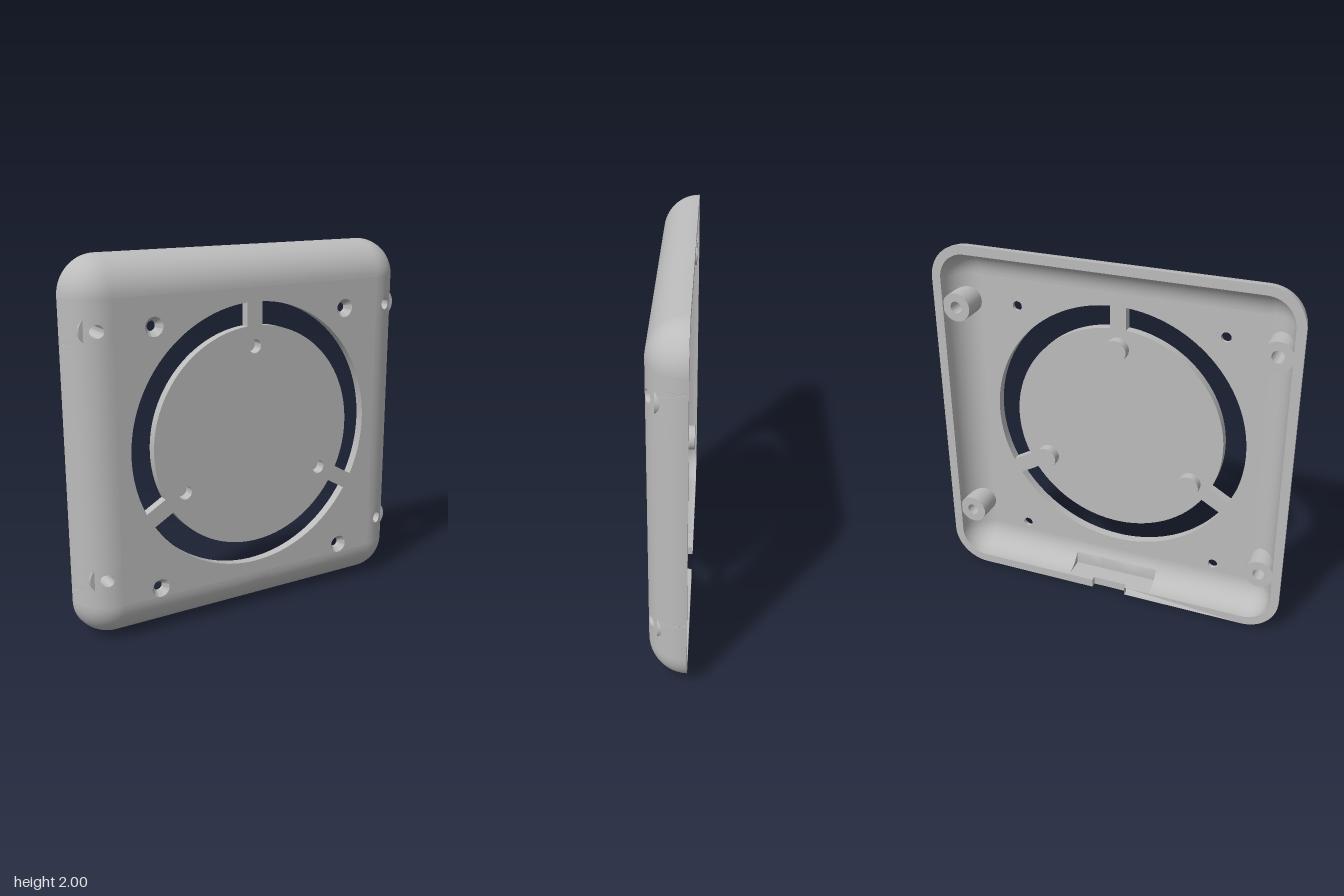
import * as THREE from 'three';
import { toCreasedNormals } from 'three/addons/utils/BufferGeometryUtils.js';

const RIM_Z = -0.1, R_OUT = 0.2, R_IN = 0.15, STEPS = 14;
const HOLE_R = 0.033, HOLE_W = 0.075, HOLE_U = 0.645, PATCH = 0.08;
const POCKET_Z = 0.03, POCKET_X = 0.25, NOTCH_X = 0.1, NOTCH_Z = -0.07;

const range = (n, f) => Array.from({ length: n + 1 }, (_, i) => f(i / n));

// Surface through rows of [x, y, z] points
function grid(rows) {
  const n = rows[0].length, index = [];
  for (let i = 0; i < rows.length - 1; i++) {
    for (let j = 0; j < n - 1; j++) {
      const a = i * n + j, b = a + n;
      index.push(a, b, a + 1, b, b + 1, a + 1);
    }
  }
  const g = new THREE.BufferGeometry();
  g.setAttribute('position', new THREE.Float32BufferAttribute(rows.flat(2), 3));
  g.setIndex(index);
  return toCreasedNormals(g, 0.6);
}

// Point on the rounded edge along the bottom side: angle t from the front, u along the side
const edge = (R, t, u) => [u, -0.8 - R * Math.sin(t), RIM_Z + R * Math.cos(t)];
const arc = (R, t0 = 0, t1 = Math.PI / 2) =>
  range(STEPS, (k) => edge(R, t0 + (t1 - t0) * k, 0).slice(1));
const sweep = (profile, u0, u1) => grid([u0, u1].map((u) => profile.map(([y, z]) => [u, y, z])));

// Square piece of rounded edge with a round screw hole in it
function holedPatch(R, uc) {
  const H = Math.PI / 2, s = range(STEPS, (k) => k).slice(0, -1);
  const border = [
    ...s.map((k) => [k * H, -PATCH]), ...s.map((k) => [H, (2 * k - 1) * PATCH]),
    ...s.map((k) => [(1 - k) * H, PATCH]), ...s.map((k) => [0, (1 - 2 * k) * PATCH]),
  ];
  border.push(border[0]);
  const lines = border.map(([t, u]) => {
    const a = Math.atan2(u, R * Math.sin(t) - HOLE_W);
    const th = Math.asin((HOLE_W + HOLE_R * Math.cos(a)) / R), uh = HOLE_R * Math.sin(a);
    return range(8, (k) => edge(R, th + (t - th) * k, uc + uh + (u - uh) * k));
  });
  return grid(lines);
}

// Octant of a sphere at the corner
const corner = (R) => grid(range(STEPS, (a) => range(STEPS, (b) => {
  const th = a * Math.PI / 2, t = b * Math.PI / 2;
  return [0.8 + R * Math.sin(t) * Math.cos(th), -0.8 - R * Math.sin(t) * Math.sin(th), RIM_Z + R * Math.cos(t)];
})));

// Lathe around the z axis from [radius, z] points
function latheZ(points) {
  const g = new THREE.LatheGeometry(points.map(([r, z]) => new THREE.Vector2(r, z)), 40);
  return toCreasedNormals(g.rotateX(Math.PI / 2), 0.6);
}

export function createModel() {
  const model = new THREE.Group();
  const body = new THREE.Group();
  body.name = 'cover';
  body.position.y = 1;
  model.add(body);
  const grey = new THREE.MeshStandardMaterial({ color: 0xbcbcbc, side: THREE.DoubleSide });
  grey.name = 'grey plastic';
  const add = (name, geometry, x = 0, y = 0, turn = 0) => {
    const m = new THREE.Mesh(geometry, grey);
    m.name = name;
    m.position.set(x, y, 0);
    m.rotation.z = turn;
    body.add(m);
  };

  // Front plate with three arc slots, screw holes and pin holes
  const plate = new THREE.Shape([[-0.8, -0.8], [0.8, -0.8], [0.8, 0.8], [-0.8, 0.8]].map((p) => new THREE.Vector2(...p)));
  const circleHole = (x, y, r) => plate.holes.push(new THREE.Path().absarc(x, y, r, 0, Math.PI * 2, true));
  const screws = [-0.58, 0.58].flatMap((x) => [[x, -0.75], [x, 0.645]]);
  const pins = [90, 210, 330].map((d) => [0.49 * Math.cos(d * Math.PI / 180), 0.49 * Math.sin(d * Math.PI / 180)]);
  screws.forEach(([x, y]) => circleHole(x, y, 0.05));
  pins.forEach(([x, y]) => circleHole(x, y, 0.037));
  for (const d of [90, 210, 330]) {
    const a = d * Math.PI / 180, b = a + Math.PI * 2 / 3;
    const go = Math.asin(0.045 / 0.725), gi = Math.asin(0.045 / 0.6);
    const slot = new THREE.Path();
    slot.absarc(0, 0, 0.725, a + go, b - go, false);
    slot.absarc(0, 0, 0.6, b - gi, a + gi, true);
    slot.closePath();
    plate.holes.push(slot);
  }
  const plateGeo = new THREE.ExtrudeGeometry(plate, { depth: 0.05, bevelEnabled: false, curveSegments: 40 });
  add('frontPlate', toCreasedNormals(plateGeo.translate(0, 0, 0.05), 0.5));

  // Countersinks, and pegs on the back with blind holes from the front
  screws.forEach(([x, y]) => add('countersink', latheZ([[0.05, -0.1], [0.027, -0.07], [0.027, -0.05], [0.05, -0.05]].map(([r, z]) => [r, -z])), x, y));
  pins.forEach(([x, y]) => add('peg', latheZ([[0.037, 0.1], [0.037, 0.04], [0, 0.04]]), x, y));
  pins.forEach(([x, y]) => add('pegBack', latheZ([[0.062, 0.05], [0.062, 0], [0, 0]]), x, y));

  // Rounded edges, outside and inside, on all four sides
  for (let k = 0; k < 4; k++) {
    const turn = k * Math.PI / 2;
    for (const R of [R_OUT, R_IN]) {
      const name = R === R_OUT ? 'outer' : 'inner';
      add(name + 'Corner', corner(R), 0, 0, turn);
      if (k === 2) add(name + 'Edge', sweep(arc(R), -0.8, 0.8), 0, 0, turn);
      if (k % 2 === 0) continue;
      const a = HOLE_U - PATCH, b = HOLE_U + PATCH;
      for (const [u0, u1] of [[-0.8, -b], [-a, a], [b, 0.8]]) add(name + 'Edge', sweep(arc(R), u0, u1), 0, 0, turn);
      for (const u of [-HOLE_U, HOLE_U]) add(name + 'EdgeHole', holedPatch(R, u), 0, 0, turn);
    }
  }

  // Bottom edge with the notch outside and the pocket inside
  const tNotch = Math.acos((NOTCH_Z - RIM_Z) / R_OUT), tPocket = Math.acos((POCKET_Z - RIM_Z) / R_IN);
  const pocket = (z0) => [...arc(R_IN, 0, tPocket), [-0.95, POCKET_Z], [-0.95, z0]];
  add('outerEdge', sweep(arc(R_OUT, 0, tNotch), -NOTCH_X, NOTCH_X));
  add('pocket', sweep(pocket(NOTCH_Z), -NOTCH_X, NOTCH_X));
  add('notchFloor', sweep([[-0.95, NOTCH_Z], [-0.998, NOTCH_Z]], -NOTCH_X, NOTCH_X));
  for (const s of [-1, 1]) {
    add('outerEdge', sweep(arc(R_OUT), s * NOTCH_X, s * 0.8));
    add('innerEdge', sweep(arc(R_IN), s * POCKET_X, s * 0.8));
    add('pocket', sweep(pocket(RIM_Z), s * NOTCH_X, s * POCKET_X));
    const fillet = arc(R_IN, tPocket, Math.PI / 2);
    add('pocketCheek', grid([fillet.map(([y, z]) => [s * POCKET_X, y, z]), fillet.map(([, z]) => [s * POCKET_X, -0.95, z])]));
    add('notchCheek', grid([RIM_Z, NOTCH_Z].map((z) => [-0.95, -0.999].map((y) => [s * NOTCH_X, y, z]))));
  }

  // Flat rear rim, open at the notch
  const rim = new THREE.Shape();
  rim.moveTo(NOTCH_X, -1);
  const quarters = [[0.8, -0.8, -0.5], [0.8, 0.8, 0], [-0.8, 0.8, 0.5], [-0.8, -0.8, 1]];
  quarters.forEach(([x, y, q]) => rim.absarc(x, y, R_OUT, q * Math.PI, (q + 0.5) * Math.PI, false));
  rim.lineTo(-NOTCH_X, -1);
  rim.lineTo(-NOTCH_X, -0.95);
  quarters.reverse().forEach(([x, y, q]) => rim.absarc(x, y, R_IN, (q + 0.5) * Math.PI, q * Math.PI, true));
  rim.lineTo(NOTCH_X, -0.95);
  const rimGeo = new THREE.ShapeGeometry(rim, STEPS).rotateY(Math.PI);
  add('rearRim', rimGeo.translate(0, 0, RIM_Z));

  // Screw bosses with a bore that follows the rounded edge
  const boss = latheZ([[HOLE_R, -0.09], [0.08, -0.09], [0.08, 0.05], [HOLE_R, 0.05]]);
  for (const s of [-1, 1]) {
    const bore = grid(range(40, (k) => {
      const x = HOLE_R * Math.cos(k * Math.PI * 2), y = HOLE_R * Math.sin(k * Math.PI * 2);
      const front = RIM_Z + Math.sqrt(R_OUT ** 2 - (HOLE_W + s * x) ** 2);
      return [[x, y, -0.09], [x, y, front]];
    }));
    for (const y of [-HOLE_U, HOLE_U]) {
      add('boss', boss, s * (0.8 + HOLE_W), y);
      add('bossBore', bore, s * (0.8 + HOLE_W), y);
    }
  }
  return model;
}
